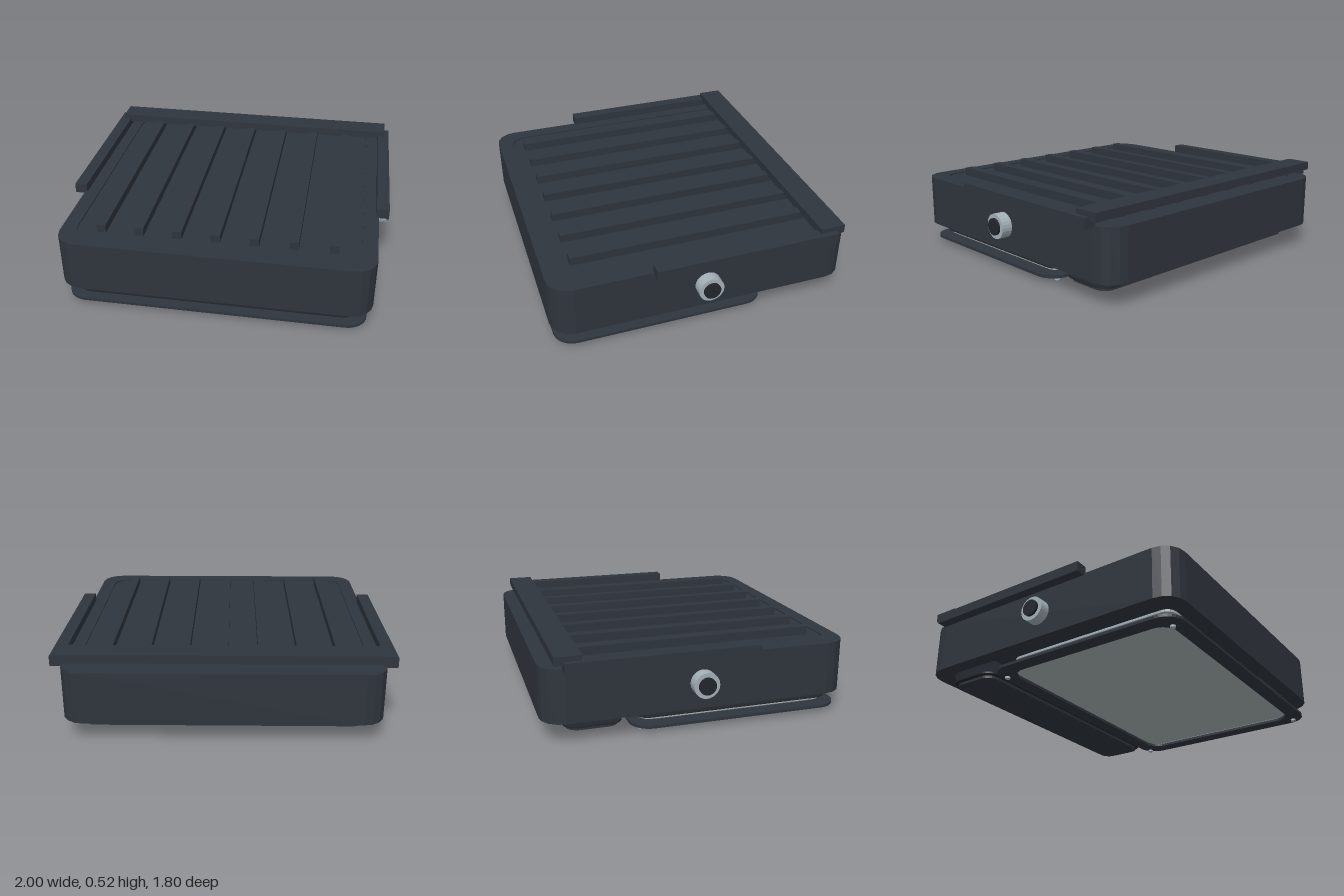
import * as THREE from 'three';

const dark = new THREE.MeshStandardMaterial({ color: 0x2f353d, flatShading: true });
const black = new THREE.MeshStandardMaterial({ color: 0x22262b, flatShading: true });
const silver = new THREE.MeshStandardMaterial({ color: 0xa4b0b8, flatShading: true });
const glassMat = new THREE.MeshStandardMaterial({ color: 0xa9b1b4, flatShading: true });

// Rounded rectangle outline centred on the origin
function outline(path, hx, hz, r) {
  path.moveTo(-hx + r, -hz);
  path.lineTo(hx - r, -hz);
  path.absarc(hx - r, -hz + r, r, -Math.PI / 2, 0);
  path.lineTo(hx, hz - r);
  path.absarc(hx - r, hz - r, r, 0, Math.PI / 2);
  path.lineTo(-hx + r, hz);
  path.absarc(-hx + r, hz - r, r, Math.PI / 2, Math.PI);
  path.lineTo(-hx, -hz + r);
  path.absarc(-hx + r, -hz + r, r, Math.PI, Math.PI * 1.5);
  return path;
}

// Horizontal plate from y0 to y1 and z0 to z1, with an optional opening of the given border
function plate(name, mat, hx, z0, z1, r, y0, y1, border = 0, segments = 2) {
  const hz = (z1 - z0) / 2;
  const shape = outline(new THREE.Shape(), hx, hz, r);
  if (border) {
    shape.holes.push(outline(new THREE.Path(), hx - border, hz - border, Math.max(r - border * 0.3, 0.03)));
  }
  const geo = new THREE.ExtrudeGeometry(shape, { depth: y1 - y0, bevelEnabled: false, curveSegments: segments });
  geo.rotateX(-Math.PI / 2);
  geo.translate(0, y0, (z0 + z1) / 2);
  const mesh = new THREE.Mesh(geo, mat);
  mesh.name = name;
  return mesh;
}

// Box given by its lower and upper limits
function box(name, mat, x0, x1, y0, y1, z0, z1) {
  const mesh = new THREE.Mesh(new THREE.BoxGeometry(x1 - x0, y1 - y0, z1 - z0), mat);
  mesh.position.set((x0 + x1) / 2, (y0 + y1) / 2, (z0 + z1) / 2);
  mesh.name = name;
  return mesh;
}

// Side connector: a silver ring around a dark plug, pointing along +x
function connector() {
  const group = new THREE.Group();
  group.name = 'sideConnector';
  const profile = [[0.05, 0.9], [0.075, 0.9], [0.075, 0.985], [0.05, 0.985], [0.05, 0.9]];
  const ring = new THREE.Mesh(
    new THREE.LatheGeometry(profile.map(([r, h]) => new THREE.Vector2(r, h)), 24), silver);
  ring.name = 'connectorRing';
  const plug = new THREE.Mesh(new THREE.CylinderGeometry(0.05, 0.05, 0.1, 24), black);
  plug.position.y = 0.95;
  plug.name = 'connectorPlug';
  group.add(ring, plug);
  group.rotation.z = -Math.PI / 2;
  group.position.y = 0.285;
  return group;
}

export function createModel() {
  const model = new THREE.Group();
  model.name = 'floodlight';

  // Hollow housing closed by a slightly sunken top
  model.add(plate('housingWall', dark, 0.92, -0.9, 0.9, 0.13, 0.13, 0.44, 0.09));
  model.add(plate('housingTop', dark, 0.835, -0.815, 0.815, 0.1, 0.4, 0.432));

  // Cooling fins
  for (let i = -3; i <= 3; i++) {
    const x = i * 0.225;
    model.add(box('coolingFin', dark, x - 0.027, x + 0.027, 0.425, 0.482, -0.74, 0.74));
  }

  // Rear crossbar
  model.add(box('rearBar', dark, -0.95, 0.95, 0.47, 0.52, -0.83, -0.68));

  // Side rails and connectors
  for (const side of [-1, 1]) {
    const inner = side * 0.905, outer = side * 0.98;
    model.add(box('sideRail', dark, Math.min(inner, outer), Math.max(inner, outer), 0.43, 0.49, -0.78, 0.32));
    const holder = new THREE.Group();
    holder.name = side > 0 ? 'leftConnector' : 'rightConnector';
    holder.rotation.y = side > 0 ? 0 : Math.PI;
    holder.add(connector());
    model.add(holder);
  }

  // Lamp stack, separated in layers below the housing
  model.add(plate('reflector', silver, 0.785, -0.31, 0.8, 0.06, 0.12, 0.134));
  model.add(plate('lampGasket', black, 0.825, -0.35, 0.84, 0.08, 0.066, 0.073, 0.06, 4));
  model.add(plate('glass', glassMat, 0.805, -0.33, 0.82, 0.07, 0.05, 0.058, 0, 4));
  model.add(plate('bezel', dark, 0.89, -0.39, 0.88, 0.12, 0.028, 0.045, 0.09, 4));

  // Bezel screws
  for (const x of [-0.795, 0.795]) {
    for (const z of [-0.325, 0.815]) {
      const screw = new THREE.Mesh(new THREE.CylinderGeometry(0.016, 0.016, 0.012, 12), silver);
      screw.position.set(x, 0.006, z);
      screw.name = 'bezelScrew';
      model.add(screw);
    }
  }

  // Rear compartment cover and its gasket
  model.add(plate('coverGasket', black, 0.84, -0.77, -0.43, 0.08, 0.063, 0.073, 0.05, 4));
  model.add(plate('compartmentCover', dark, 0.82, -0.75, -0.45, 0.07, 0.042, 0.058, 0, 4));

  return model;
}
